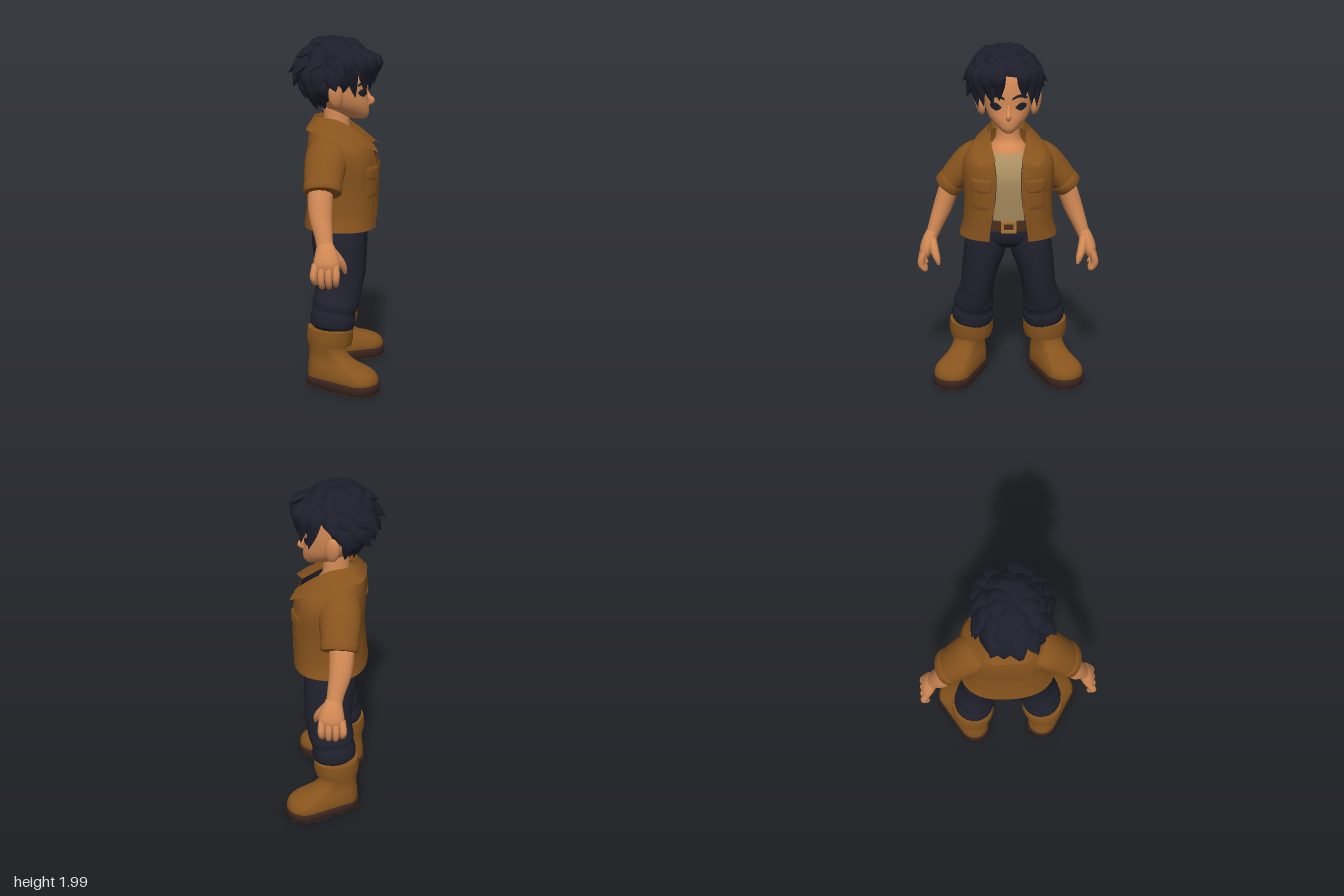
import * as THREE from 'three';
import { toCreasedNormals } from 'three/addons/utils/BufferGeometryUtils.js';

const paint = (name, color, side = THREE.FrontSide) => {
  const m = new THREE.MeshStandardMaterial({ color, side });
  m.name = name;
  return m;
};
const V = (x, y, z) => new THREE.Vector3(x, y, z);
const rad = THREE.MathUtils.degToRad;

// Catmull-Rom subdivision of rows of numbers
function smooth(rows, sub) {
  if (sub <= 1) return rows;
  const out = [], last = rows.length - 1;
  for (let i = 0; i < last; i++) {
    const [a, b, c, d] = [rows[Math.max(i - 1, 0)], rows[i], rows[i + 1], rows[Math.min(i + 2, last)]];
    for (let k = 0; k < sub; k++) {
      const t = k / sub;
      out.push(b.map((_, j) => 0.5 * (2 * b[j] + (c[j] - a[j]) * t + (2 * a[j] - 5 * b[j] + 4 * c[j] - d[j]) * t * t
        + (3 * b[j] - a[j] - 3 * c[j] + d[j]) * t * t * t)));
    }
  }
  out.push(rows[last]);
  return out;
}

// Skin over rings of points; closed rings get end caps and outward faces
function loft(rings, closed = true) {
  const n = rings[0].length, pos = rings.flat().flatMap(p => [p.x, p.y, p.z]), idx = [];
  for (let i = 0; i < rings.length - 1; i++) for (let j = 0; j < (closed ? n : n - 1); j++) {
    const a = i * n + j, b = i * n + (j + 1) % n;
    idx.push(a, b, a + n, b, b + n, a + n);
  }
  if (closed) {
    [0, rings.length - 1].forEach((r, e) => {
      const c = rings[r].reduce((s, p) => s.add(p), V(0, 0, 0)).divideScalar(n), ci = pos.length / 3;
      pos.push(c.x, c.y, c.z);
      for (let j = 0; j < n; j++) {
        const a = r * n + j, b = r * n + (j + 1) % n;
        e ? idx.push(a, b, ci) : idx.push(b, a, ci);
      }
    });
    let vol = 0;
    const at = i => V(pos[i * 3], pos[i * 3 + 1], pos[i * 3 + 2]);
    for (let i = 0; i < idx.length; i += 3) vol += at(idx[i]).dot(at(idx[i + 1]).cross(at(idx[i + 2])));
    if (vol < 0) idx.reverse();
  }
  const g = new THREE.BufferGeometry();
  g.setAttribute('position', new THREE.Float32BufferAttribute(pos, 3));
  g.setIndex(idx);
  return toCreasedNormals(g, 0.9);
}

// Limb along rows of [x, y, z, side radius, up radius]
function limb(rows, up = V(0, 0, 1), sides = 14, sub = 4) {
  const r = smooth(rows, sub), p = r.map(q => V(q[0], q[1], q[2]));
  return loft(r.map((q, i) => {
    const t = p[Math.min(i + 1, p.length - 1)].clone().sub(p[Math.max(i - 1, 0)]).normalize();
    const side = up.clone().cross(t).normalize(), nrm = t.clone().cross(side);
    return Array.from({ length: sides }, (_, j) => {
      const a = j / sides * Math.PI * 2;
      return p[i].clone().addScaledVector(side, q[3] * Math.cos(a)).addScaledVector(nrm, q[4] * Math.sin(a));
    });
  }));
}

// Body rows are [y, half width, back z, front z, half gap]
const pw = (v, e) => Math.sign(v) * Math.abs(v) ** e;
function ring([y, hw, zb, zf, gap = 0], e, inset = 0, n = 36) {
  const g = Math.asin(Math.min(1, gap / hw) ** (1 / e)), open = gap > 0;
  return Array.from({ length: n }, (_, j) => {
    const a = g + (2 * Math.PI - 2 * g) * j / (open ? n - 1 : n);
    return V((hw - inset) * pw(Math.sin(a), e), y, (zb + zf) / 2 + ((zf - zb) / 2 - inset) * pw(Math.cos(a), e));
  });
}
const body = (rows, e = 1, sub = 4) => loft(smooth(rows, sub).map(r => ring(r, e)));

// Thin patch lying on the front of a body, between two height curves
function patch(rows, e, s, x0, x1, low, high, lift) {
  const fine = smooth(rows, 6), N = 10;
  const front = (x, y) => {
    let i = 0;
    while (i < fine.length - 2 && fine[i + 1][0] < y) i++;
    const t = (y - fine[i][0]) / (fine[i + 1][0] - fine[i][0]);
    const [hw, zb, zf] = [1, 2, 3].map(k => THREE.MathUtils.lerp(fine[i][k], fine[i + 1][k], t));
    return (zb + zf) / 2 + (zf - zb) / 2 * Math.max(0, 1 - Math.abs(x / hw) ** (2 / e)) ** (e / 2);
  };
  return loft(Array.from({ length: N + 1 }, (_, i) => Array.from({ length: N + 1 }, (_, j) => {
    const u = j / N, x = x0 + (x1 - x0) * u, y = THREE.MathUtils.lerp(low(u), high(u), i / N);
    const edge = i === 0 || j === 0 || i === N || j === N;
    return V(s * x, y, front(x, y) + (edge ? lift * 0.3 : lift));
  })), false);
}

export function createModel() {
  const D = THREE.DoubleSide;
  const skin = paint('skin', 0xd58b56), hairMat = paint('hair', 0x1c1e2a, D), jacketMat = paint('jacket', 0x87531d, D);
  const denim = paint('denim', 0x20212d, D), leather = paint('boot leather', 0x87541d), soleMat = paint('sole', 0x3b261f);
  const beltMat = paint('belt', 0x4c301c), shirtMat = paint('shirt', 0xa98e60), brass = paint('buckle', 0xa87438);
  const figure = new THREE.Group();
  figure.name = 'figure';
  const add = (name, geo, mat) => {
    const m = new THREE.Mesh(geo, mat);
    m.name = name;
    figure.add(m);
    return m;
  };

  // Head, neck and shirt
  const headRows = [[1.525, 0.025, 0.08, 0.16], [1.55, 0.062, -0.01, 0.176], [1.6, 0.107, -0.08, 0.178], [1.66, 0.132, -0.115, 0.17],
    [1.75, 0.145, -0.15, 0.168], [1.85, 0.135, -0.15, 0.142], [1.93, 0.06, -0.1, 0.05]];
  add('head', body(headRows), skin);
  add('neck', body([[1.36, 0.13, -0.11, 0.13], [1.42, 0.1, -0.1, 0.1], [1.47, 0.07, -0.08, 0.07], [1.58, 0.065, -0.08, 0.07]]), skin);
  add('nose', limb([[0, 1.7, 0.154, 0.008, 0.009], [0, 1.65, 0.174, 0.012, 0.014], [0, 1.624, 0.192, 0.015, 0.019], [0, 1.606, 0.172, 0.01, 0.009]]), skin);
  add('shirt', body([[0.98, 0.195, -0.14, 0.17], [1.1, 0.2, -0.14, 0.185], [1.25, 0.21, -0.14, 0.195], [1.33, 0.19, -0.14, 0.172],
    [1.38, 0.14, -0.12, 0.135], [1.397, 0.1, -0.1, 0.105]], 0.9), shirtMat);

  // Open jacket with dark lining
  const jacketRows = [[0.915, 0.28, -0.19, 0.235, 0.11], [1, 0.258, -0.18, 0.237, 0.1], [1.15, 0.252, -0.168, 0.236, 0.077],
    [1.28, 0.262, -0.174, 0.23, 0.07], [1.37, 0.25, -0.172, 0.205, 0.08], [1.44, 0.195, -0.163, 0.14, 0.095],
    [1.5, 0.125, -0.148, 0.06, 0.1], [1.53, 0.105, -0.135, 0.02, 0.1]];
  const shell = smooth(jacketRows, 4);
  add('jacket', loft(shell.map(r => ring(r, 0.82)), false), jacketMat);
  add('jacketLining', loft(shell.filter(r => r[0] < 1.38).map(r => ring(r, 0.82, 0.01)), false), denim);

  // Belt, buckle and hips
  add('belt', body([[0.96, 0.208, -0.15, 0.185], [1.022, 0.206, -0.15, 0.187]], 0.9, 1), beltMat);
  const frame = new THREE.Shape([[-0.043, -0.034], [0.043, -0.034], [0.043, 0.034], [-0.043, 0.034]].map(p => new THREE.Vector2(...p)));
  frame.holes.push(new THREE.Path([[-0.027, -0.019], [-0.027, 0.019], [0.027, 0.019], [0.027, -0.019]].map(p => new THREE.Vector2(...p))));
  add('buckle', new THREE.ExtrudeGeometry(frame, { depth: 0.014, bevelEnabled: false }), brass).position.set(0, 0.99, 0.183);
  add('hips', body([[0.84, 0.1, -0.09, 0.11], [0.87, 0.18, -0.13, 0.15], [0.92, 0.228, -0.145, 0.17], [0.98, 0.2, -0.145, 0.172]], 0.9), denim);

  for (const [s, side] of [[1, 'left'], [-1, 'right']]) {
    const part = (name, rows, mat, ...opt) => add(side + name, limb(rows.map(([x, ...q]) => [s * x, ...q]), ...opt), mat);

    // Ear, eye and brow
    const ear = add(side + 'Ear', new THREE.SphereGeometry(1, 16, 12), skin);
    ear.scale.set(0.026, 0.075, 0.042);
    ear.position.set(s * 0.158, 1.67, 0);
    ear.rotation.set(-0.15, s * -0.3, s * -0.2);
    const arc = u => Math.sin(Math.PI * u);
    add(side + 'Eye', patch(headRows, 1, s, 0.038, 0.1, u => 1.672 - 0.018 * arc(u), u => 1.676 + 0.016 * arc(u) + 0.012 * u, 0.005), hairMat);
    add(side + 'Brow', patch(headRows, 1, s, 0.022, 0.105, u => 1.714 + 0.014 * arc(u), u => 1.726 + 0.018 * arc(u), 0.006), hairMat);

    // Collar half: fold line, then fallen edge
    const collar = smooth([[0, 1.5, -0.11, 0, 1.545, -0.13, 0, 1.47, -0.178], [0.08, 1.495, -0.08, 0.085, 1.54, -0.1, 0.13, 1.465, -0.155],
      [0.1, 1.47, 0, 0.112, 1.525, 0.01, 0.185, 1.455, -0.01], [0.095, 1.42, 0.1, 0.098, 1.465, 0.115, 0.2, 1.4, 0.15],
      [0.075, 1.37, 0.19, 0.072, 1.385, 0.212, 0.16, 1.355, 0.24]], 4);
    add(side + 'Collar', loft(collar.map(r => [0, 3, 6].map(k => V(s * r[k], r[k + 1], r[k + 2]))), false), jacketMat);

    // Chest pocket, flap and front placket
    add(side + 'Pocket', patch(jacketRows, 0.82, s, 0.1, 0.205, () => 1.1, () => 1.24, 0.008), jacketMat);
    add(side + 'PocketFlap', patch(jacketRows, 0.82, s, 0.092, 0.212, u => 1.215 - 0.018 * arc(u), () => 1.275, 0.015), jacketMat);
    add(side + 'Placket', patch(jacketRows, 0.82, s, 0.08, 0.125, u => 1.1 - 0.16 * u, () => 1.33, 0.004), jacketMat);

    // Sleeve and rolled edge
    part('Sleeve', [[0.12, 1.38, -0.035, 0.07, 0.1], [0.2, 1.335, -0.045, 0.09, 0.12], [0.28, 1.25, -0.054, 0.086, 0.112], [0.345, 1.17, -0.057, 0.074, 0.1]], jacketMat, undefined, 20);
    part('SleeveCuff', [[0.318, 1.2, -0.057, 0.077, 0.103], [0.323, 1.195, -0.057, 0.083, 0.109], [0.352, 1.163, -0.057, 0.081, 0.107], [0.356, 1.158, -0.057, 0.074, 0.1]], jacketMat, undefined, 20, 1);

    // Arm, palm, fingers and thumb
    part('Arm', [[0.3, 1.24, -0.065, 0.058, 0.07], [0.342, 1.14, -0.07, 0.058, 0.07], [0.38, 1.03, -0.065, 0.054, 0.064], [0.42, 0.93, -0.045, 0.042, 0.05], [0.438, 0.88, -0.038, 0.037, 0.046]], skin);
    part('Palm', [[0.432, 0.9, -0.038, 0.035, 0.042], [0.455, 0.85, -0.03, 0.04, 0.06], [0.475, 0.79, -0.025, 0.04, 0.074], [0.482, 0.755, -0.025, 0.028, 0.066]], skin);
    for (let f = 0; f < 4; f++) {
      const z = -0.085 + f * 0.037, drop = [0.02, 0, 0, 0.012][f];
      part('Finger' + (f + 1), [[0.48, 0.79, z, 0.02, 0.02], [0.504, 0.735, z * 1.1, 0.021, 0.021], [0.503, 0.69 + drop, z * 1.08, 0.019, 0.019],
        [0.483, 0.662 + drop, z, 0.015, 0.015], [0.479, 0.653 + drop, z, 0.006, 0.006]], skin, undefined, 8, 3);
    }
    part('Thumb', [[0.44, 0.86, 0, 0.024, 0.024], [0.426, 0.8, 0.042, 0.025, 0.025], [0.41, 0.755, 0.064, 0.019, 0.019], [0.402, 0.722, 0.072, 0.008, 0.008]], skin, undefined, 8, 3);

    // Trouser leg with folds
    part('TrouserLeg', [[0.115, 0.95, 0.013, 0.1, 0.145], [0.127, 0.85, 0.015, 0.122, 0.153], [0.158, 0.72, 0.022, 0.108, 0.142], [0.178, 0.6, 0.022, 0.098, 0.135],
      [0.19, 0.53, 0.012, 0.103, 0.132], [0.2, 0.48, 0, 0.117, 0.13], [0.204, 0.445, -0.006, 0.112, 0.123], [0.209, 0.41, -0.012, 0.123, 0.128],
      [0.211, 0.36, -0.015, 0.118, 0.124], [0.216, 0.33, -0.02, 0.1, 0.1]], denim, undefined, 22);

    // Boot: heel circle and toe circle joined, rows [y, heel r, toe r, length]
    const turn = s * 0.47;
    const foot = ([y, rh, rt, d]) => Array.from({ length: 28 }, (_, j) => {
      const a = (j + 0.5) / 28 * Math.PI * 2, toe = Math.cos(a) > 0, r = toe ? rt : rh;
      return V(r * Math.sin(a), y, r * Math.cos(a) + (toe ? d : 0)).applyAxisAngle(V(0, 1, 0), turn).add(V(s * 0.218, 0, -0.068));
    });
    add(side + 'Boot', loft(smooth([[0.05, 0.086, 0.106, 0.242], [0.085, 0.087, 0.11, 0.24], [0.118, 0.086, 0.1, 0.23], [0.142, 0.084, 0.085, 0.197],
      [0.165, 0.081, 0.077, 0.135], [0.2, 0.079, 0.075, 0.083], [0.25, 0.082, 0.08, 0.055], [0.32, 0.088, 0.088, 0.05]], 4).map(foot)), leather);
    add(side + 'Sole', loft([[0.014, 0.086, 0.107, 0.242], [0.022, 0.094, 0.115, 0.242], [0.06, 0.094, 0.115, 0.242], [0.068, 0.089, 0.11, 0.242]].map(foot)), soleMat);
    const treads = new THREE.Group();
    treads.name = side + 'Treads';
    treads.position.set(s * 0.218, 0.0125, -0.068);
    treads.rotation.y = turn;
    for (const [z, w, l] of [[-0.04, 0.13, 0.07], [0.04, 0.17, 0.06], [0.135, 0.185, 0.05], [0.2, 0.2, 0.055], [0.265, 0.19, 0.05], [0.32, 0.12, 0.035]]) {
      const lug = new THREE.Mesh(new THREE.BoxGeometry(w, 0.025, l), soleMat);
      lug.name = 'tread';
      lug.position.z = z;
      treads.add(lug);
    }
    figure.add(treads);
    part('BootCuff', [[0.218, 0.355, -0.025, 0.105, 0.11], [0.218, 0.35, -0.025, 0.126, 0.13], [0.219, 0.3, -0.028, 0.13, 0.134],
      [0.22, 0.255, -0.03, 0.123, 0.126], [0.22, 0.247, -0.03, 0.09, 0.095]], leather, undefined, 24, 1);
  }

  // Hair: rounded cap with rows of long pointed locks flicking outwards
  const C = V(-0.02, 1.79, -0.02), R = V(0.182, 0.18, 0.19);
  const dir = (az, el) => V(Math.sin(rad(az)) * Math.cos(rad(el)), Math.sin(rad(el)), Math.cos(rad(az)) * Math.cos(rad(el)));
  const on = (az, el, k) => dir(az, el).multiply(R).multiplyScalar(k).add(C);
  const cap = add('hairCap', new THREE.SphereGeometry(1, 28, 20), hairMat);
  cap.scale.set(0.178, 0.18, 0.168);
  cap.position.set(C.x, C.y, C.z - 0.018);
  const lock = (a, b, c, w, up) => {
    const d = b.clone().lerp(c, 0.5);
    add('hairLock', limb([[a, 0.45], [b, 1], [d, 0.72], [c, 0.02]].map(([p, k]) => [p.x, p.y, p.z, w * k, w * k * 0.5]), up, 8, 3), hairMat);
  };
  let seed = 11;
  const rnd = () => (seed = (seed * 16807) % 2147483647) / 2147483647 - 0.5;
  // Rows of [elevation, count, tip reach, width, bare angle at the face]
  for (const [el, n, tip, w, bare] of [[64, 8, 1.17, 0.058, 0], [42, 11, 1.24, 0.056, 0], [20, 13, 1.36, 0.052, 24], [-3, 13, 1.29, 0.05, 72],
    [-28, 11, 1.2, 0.046, 108]])
    for (let i = 0; i < n; i++) {
      const az = ((i + (el > 40 ? 0.5 : 0.25) + rnd() * 0.4) / n) * 360 - 180, e = el + rnd() * 12;
      if (Math.abs(az) < bare) continue;
      lock(on(az - 6, e + 30, 0.94), on(az, e, 1.02), on(az + 8 + rnd() * 26, e - 22, tip + rnd() * 0.12), w, dir(az, e));
    }

  // Nape locks
  for (let i = -4; i <= 4; i++) {
    const az = 180 + i * 16, a = rad(az), y = 1.57 + 0.012 * (i & 1) + 0.004 * Math.abs(i);
    lock(on(az, 0, 0.92), on(az, -34, 0.98), V(Math.sin(a) * 0.115 - 0.01, y, -0.015 + Math.cos(a) * 0.105), 0.04, dir(az, -20));
  }

  // Fringe parted over the forehead, and sideburns
  for (const [az, x, y, z] of [[-62, -0.165, 1.66, 0.11], [-44, -0.135, 1.68, 0.165], [-26, -0.085, 1.69, 0.185], [-10, -0.05, 1.72, 0.205],
    [26, 0.085, 1.73, 0.2], [42, 0.125, 1.69, 0.175], [60, 0.155, 1.67, 0.13]])
    lock(on(az, 56, 0.9), on(az, 18, 1.15 + 0.25 * Math.cos(rad(az)) ** 2), V(x, y, z), 0.048, dir(az, 20));

  // The figure is modelled facing +z, then turned to face +x
  figure.rotation.y = Math.PI / 2;
  const model = new THREE.Group();
  model.name = 'youngMan';
  model.add(figure);
  return model;
}
